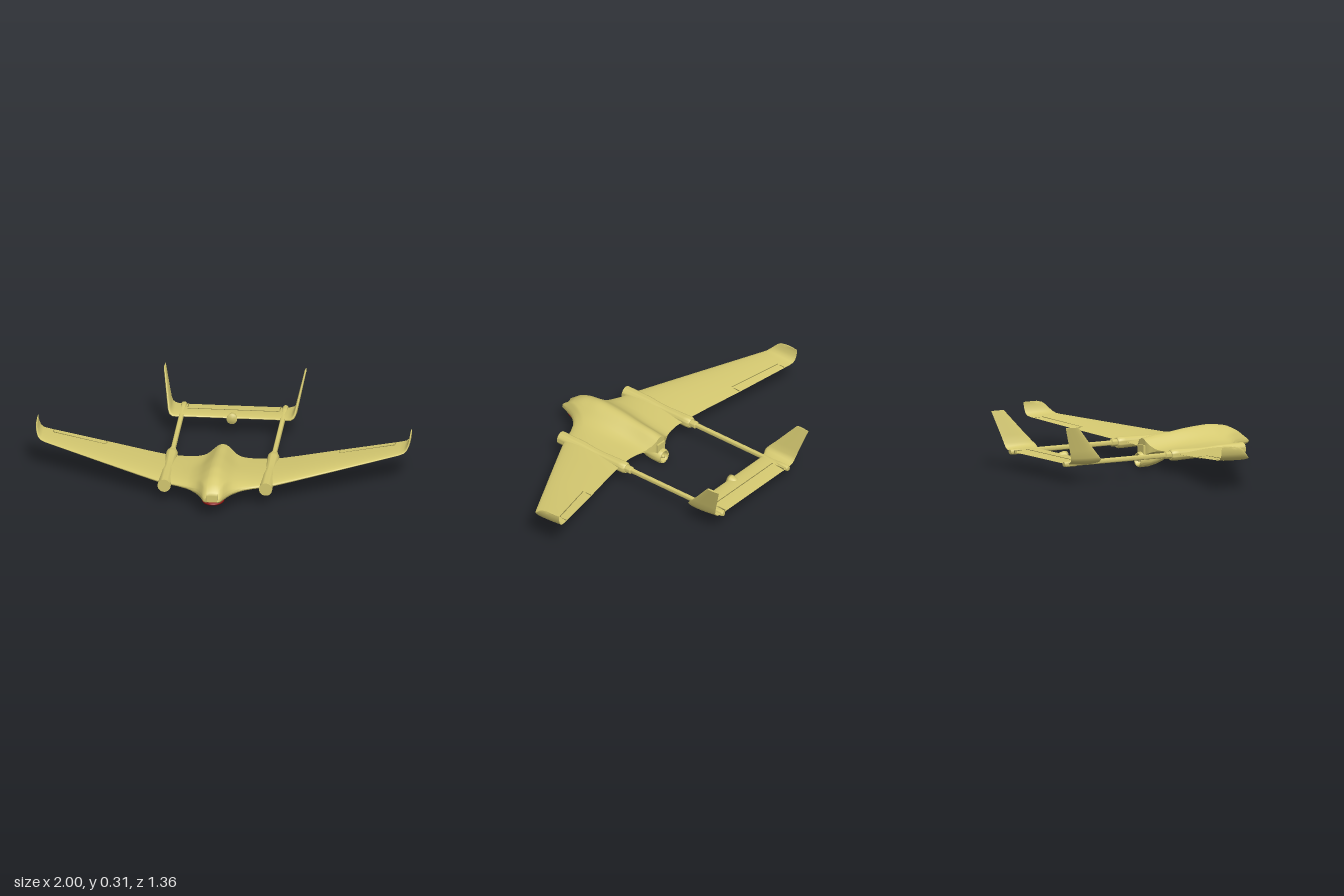
import * as THREE from 'three';
import { toCreasedNormals } from 'three/addons/utils/BufferGeometryUtils.js';

const paint = new THREE.MeshStandardMaterial({ color: 0xd4c870 });
const red = new THREE.MeshStandardMaterial({ color: 0x8a1212 });
const seam = new THREE.MeshStandardMaterial({ color: 0x8f8749 });

function part(name, geo, mat = paint) {
  const mesh = new THREE.Mesh(geo, mat);
  mesh.name = name;
  return mesh;
}

// straight-line lookup in a table of [key, value] with rising keys
function lookup(table, k) {
  if (k <= table[0][0]) return table[0][1];
  for (let i = 1; i < table.length; i++) {
    const [a, va] = table[i - 1], [b, vb] = table[i];
    if (k <= b) return va + (vb - va) * (k - a) / (b - a);
  }
  return table[table.length - 1][1];
}

// half thickness of an airfoil, 0 at the nose, 1 at its thickest
const foil = u => 10 * (0.2969 * Math.sqrt(u) - 0.126 * u - 0.3516 * u * u + 0.2843 * u ** 3 - 0.1015 * u ** 4);

// mirrored airfoil loft; half stations: [x, y, leading z, trailing z, half thickness]
function foilLoft(half, n, rule) {
  const left = half.filter(s => s[0] > 0).map(([x, ...r]) => [-x, ...r]).reverse();
  const st = [...left, ...half], m = 2 * n + 1, pos = [], idx = [];
  st.forEach(([x, y, le, te, t], i) => {
    const a = st[Math.max(0, i - 1)], b = st[Math.min(st.length - 1, i + 1)];
    const len = Math.hypot(b[0] - a[0], b[1] - a[1]);
    const nx = -(b[1] - a[1]) / len, ny = (b[0] - a[0]) / len;
    for (let j = 0; j < m; j++) {
      const side = Math.sign(n - j), k = Math.abs(n - j) / n;
      const u = 1 - Math.cos(k * Math.PI / 2);
      const h = side * t * foil(u);
      const p = new THREE.Vector3(x + nx * h, y + ny * h, le + (te - le) * u);
      if (rule) rule(p, side, le);
      pos.push(p.x, p.y, p.z);
    }
  });
  for (let i = 0; i < st.length - 1; i++) {
    for (let j = 0; j < m; j++) {
      const a = i * m + j, b = i * m + (j + 1) % m;
      idx.push(a, b, a + m, b, b + m, a + m);
    }
  }
  // tip caps
  const e = (st.length - 1) * m;
  for (let j = 0; j < n; j++) {
    const k = m - 1 - j;
    idx.push(e + j, e + j + 1, e + k, e + j + 1, e + k - 1, e + k);
    idx.push(j, k, j + 1, j + 1, k, k - 1);
  }
  const g = new THREE.BufferGeometry();
  g.setAttribute('position', new THREE.Float32BufferAttribute(pos, 3));
  g.setIndex(idx);
  return toCreasedNormals(g, 0.8);
}

// turned shape along z; profile points [radius, z] with rising z
function turned(profile, sides = 28) {
  const g = new THREE.LatheGeometry(profile.map(p => new THREE.Vector2(...p)), sides);
  return g.rotateX(Math.PI / 2);
}

function ellipsoid(rx, ry, rz, x, y, z) {
  return new THREE.SphereGeometry(1, 32, 18).scale(rx, ry, rz).translate(x, y, z);
}

// thin seam line between two points
function strip(name, a, b, h) {
  const A = new THREE.Vector3(...a), B = new THREE.Vector3(...b);
  const mesh = part(name, new THREE.BoxGeometry(0.004, h, A.distanceTo(B)), seam);
  mesh.position.copy(A).lerp(B, 0.5);
  mesh.lookAt(B);
  return mesh;
}

export function createModel() {
  const model = new THREE.Group();
  model.name = 'twinBoomAircraft';

  // blended wing and fuselage: the hump is raised out of the wing by a rule
  const hump = [[0.03, 0.06], [0.1, 0.066], [0.2, 0.068], [0.3, 0.075], [0.45, 0.08], [0.55, 0.066], [0.6, 0.046], [0.68, 0.005]];
  const belly = [[0.03, 0.03], [0.15, 0.03], [0.3, 0.012], [0.6, 0.009], [0.68, 0]];
  const wing = [
    [0, 0.1, 0.675, 0.03, 0.025], [0.015, 0.1, 0.675, 0.03, 0.025], [0.028, 0.1, 0.675, 0.03, 0.025],
    [0.031, 0.1, 0.675, 0.03, 0.025], [0.044, 0.1, 0.665, 0.035, 0.025], [0.057, 0.1, 0.63, 0.04, 0.025],
    [0.07, 0.1, 0.598, 0.05, 0.025], [0.085, 0.1, 0.57, 0.055, 0.025], [0.1, 0.101, 0.55, 0.063, 0.025],
    [0.125, 0.102, 0.524, 0.07, 0.024], [0.15, 0.103, 0.505, 0.075, 0.023], [0.2, 0.104, 0.48, 0.08, 0.021],
    [0.25, 0.105, 0.463, 0.076, 0.02], [0.31, 0.107, 0.438, 0.068, 0.019], [0.4, 0.115, 0.392, 0.048, 0.017],
    [0.62, 0.135, 0.277, -0.008, 0.0135], [0.94, 0.165, 0.108, -0.083, 0.007], [0.965, 0.17, 0.092, -0.088, 0.007],
    [0.98, 0.182, 0.078, -0.09, 0.006], [0.988, 0.2, 0.06, -0.091, 0.006], [0.993, 0.22, 0.04, -0.092, 0.005],
    [0.994, 0.233, 0.02, -0.092, 0.004], [0.994, 0.24, -0.01, -0.092, 0.003],
  ];
  model.add(part('wingAndFuselage', foilLoft(wing, 28, (p, side, le) => {
    const width = 0.062 + 0.025 * THREE.MathUtils.smoothstep(p.z, 0.1, 0.4);
    const bell = Math.exp(-((p.x / width) ** 2));
    const fade = Math.sqrt(THREE.MathUtils.clamp((le - p.z) / 0.06, 0, 1));
    p.y += side > 0 ? lookup(hump, p.z) * bell * fade : -lookup(belly, p.z) * bell * fade;
    // square intake notch in the nose
    if (Math.abs(p.x) < 0.0295) p.z = Math.min(p.z, 0.645);
  })));

  // nose sensor and belly blister
  model.add(part('noseSensor', ellipsoid(0.06, 0.017, 0.075, 0, 0.072, 0.575), red));
  model.add(part('bellyBlister', ellipsoid(0.045, 0.022, 0.075, 0, 0.077, 0.4)));

  // engine pod, its nose bent up into the belly
  const pod = turned([[0, 0.03], [0.022, 0.03], [0.03, 0.001], [0.036, 0], [0.041, 0.012], [0.043, 0.06],
    [0.042, 0.1], [0.037, 0.15], [0.027, 0.2], [0.014, 0.235], [0, 0.25]]);
  const pp = pod.attributes.position;
  for (let i = 0; i < pp.count; i++) pp.setY(i, pp.getY(i) + 0.046 + pp.getZ(i) ** 2);
  model.add(part('enginePod', toCreasedNormals(pod, 0.7)));
  model.add(part('engineHub', turned([[0, 0], [0.008, 0.002], [0.011, 0.012], [0.011, 0.05]], 16).translate(0, 0.046, 0)));
  model.add(part('engineMount', new THREE.BoxGeometry(0.06, 0.06, 0.06).translate(0, 0.095, 0.05)));

  // boom pods, booms and control surface seams
  const boomPod = toCreasedNormals(turned([[0, 0.035], [0.025, 0.035], [0.031, 0.045], [0.031, 0.08], [0.027, 0.2],
    [0.028, 0.26], [0.034, 0.33], [0.035, 0.487], [0, 0.487]]), 0.7);
  const boom = toCreasedNormals(turned([[0, -0.63], [0.012, -0.628], [0.0155, -0.62], [0.0155, -0.56], [0.0135, -0.55],
    [0.0135, 0], [0.02, 0.005], [0.02, 0.05]], 20), 0.7);
  for (const s of [1, -1]) {
    const tag = s > 0 ? 'left' : 'right';
    const p = part(tag + 'BoomPod', boomPod), b = part(tag + 'Boom', boom);
    p.position.set(s * 0.27, 0.102, 0);
    b.position.set(s * 0.27, 0.103, 0);
    model.add(p, b);
    const inner = [s * 0.62, 0.135, 0.047], outer = [s * 0.91, 0.162, -0.03];
    model.add(strip(tag + 'AileronHinge', inner, outer, 0.0125));
    model.add(strip(tag + 'AileronInnerEnd', inner, [s * 0.62, 0.135, -0.004], 0.009));
    model.add(strip(tag + 'AileronOuterEnd', outer, [s * 0.91, 0.162, -0.073], 0.006));
    model.add(strip(tag + 'ElevatorEnd', [s * 0.245, 0.105, -0.54], [s * 0.245, 0.105, -0.617], 0.014));
  }
  model.add(strip('elevatorHinge', [-0.245, 0.105, -0.54], [0.245, 0.105, -0.54], 0.02));

  // tailplane running up into the two swept fins
  const tail = [
    [0, 0.105, -0.45, -0.62, 0.01], [0.27, 0.105, -0.45, -0.62, 0.01], [0.295, 0.107, -0.44, -0.62, 0.01],
    [0.315, 0.113, -0.43, -0.62, 0.01], [0.328, 0.123, -0.432, -0.62, 0.01], [0.336, 0.14, -0.447, -0.623, 0.009],
    [0.345, 0.18, -0.485, -0.635, 0.008], [0.374, 0.313, -0.602, -0.68, 0.005],
  ];
  model.add(part('tailplaneAndFins', foilLoft(tail, 12)));
  model.add(part('tailFairing', turned([[0, -0.505], [0.012, -0.5], [0.022, -0.485], [0.028, -0.46], [0.028, -0.445],
    [0, -0.445]]).translate(0, 0.1, 0)));
  return model;
}
